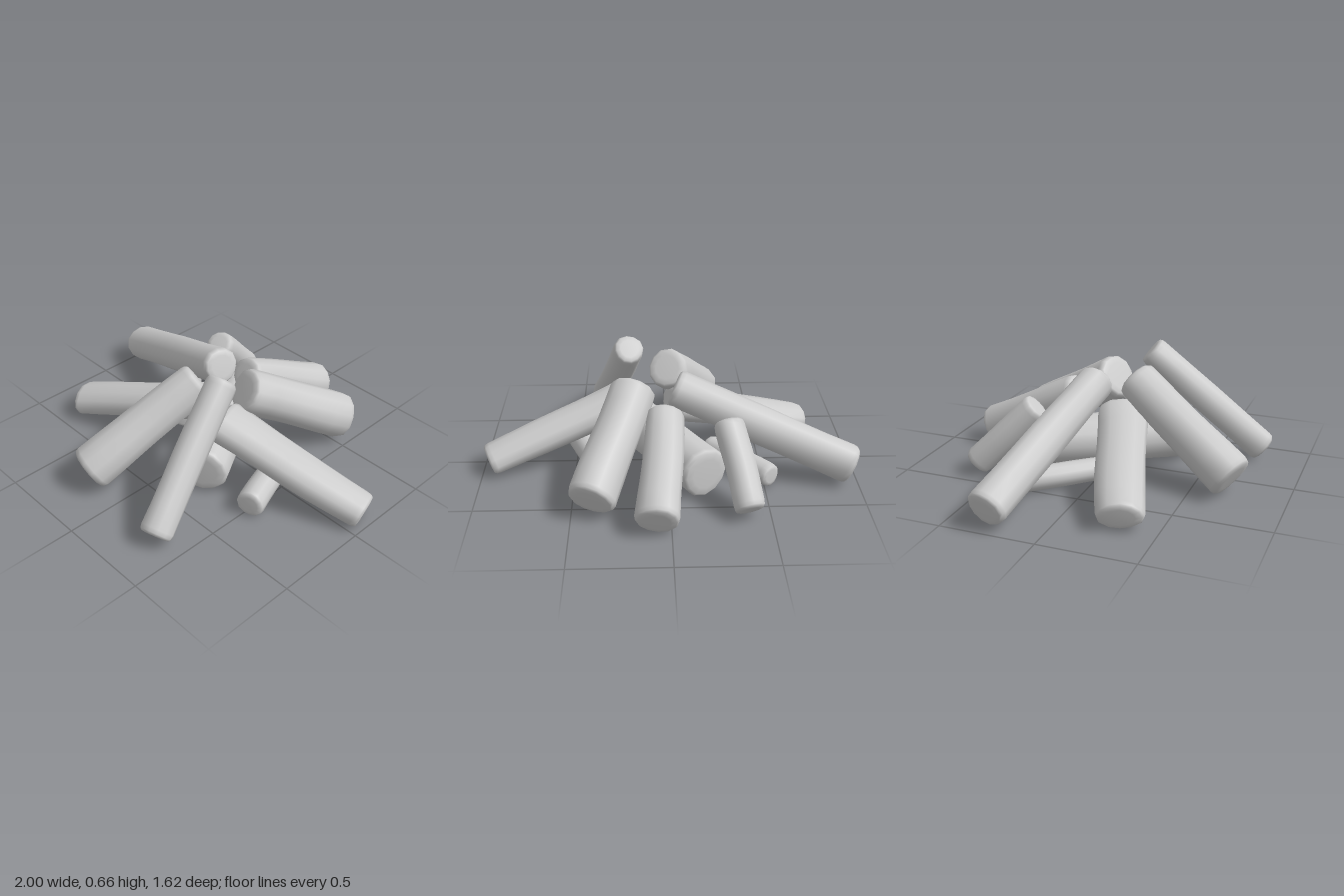
import * as THREE from 'three';
import { mergeVertices } from 'three/addons/utils/BufferGeometryUtils.js';

const material = new THREE.MeshStandardMaterial({ color: 0xcccccc });

// One log from end a (radius ra) to end b (radius rb).
// flat squashes its thickness, phase varies its uneven surface.
function makeLog(name, a, b, ra, rb, phase, flat = 1) {
  const start = new THREE.Vector3(...a);
  const axis = new THREE.Vector3(...b).sub(start);
  const len = axis.length();
  axis.normalize();

  // Profile: flat end, narrow worn rim, long side, worn rim, flat end
  const rim = [[0, 0], [0.6, 0], [0.86, 0.003], [0.96, 0.014], [1, 0.035]];
  const points = rim.map(([r, y]) => new THREE.Vector2(ra * r, y));
  for (let i = 1; i < 6; i++) {
    const t = i / 6;
    points.push(new THREE.Vector2(THREE.MathUtils.lerp(ra, rb, t), 0.035 + (len - 0.07) * t));
  }
  for (const [r, y] of rim.reverse()) points.push(new THREE.Vector2(rb * r, len - y));

  let geometry = new THREE.LatheGeometry(points, 12);
  geometry.deleteAttribute('uv');
  geometry.deleteAttribute('normal');
  geometry = mergeVertices(geometry, 1e-4);

  // Hand-hewn unevenness and a faint bend
  const pos = geometry.attributes.position;
  for (let i = 0; i < pos.count; i++) {
    const x = pos.getX(i), y = pos.getY(i), z = pos.getZ(i);
    const angle = Math.atan2(z, x);
    const k = 1 + 0.03 * Math.sin(3 * angle + phase + y * 5) + 0.015 * Math.sin(y * 11 + phase * 2);
    const bend = 0.003 * Math.sin((y / len) * Math.PI * 2 + phase);
    pos.setXYZ(i, x * k + bend, y, z * k * flat);
  }
  geometry.computeVertexNormals();

  // Lay the log along its axis with its thickness pointing up
  const side = new THREE.Vector3().crossVectors(axis, new THREE.Vector3(0, 1, 0)).normalize();
  const up = new THREE.Vector3().crossVectors(side, axis);
  const mesh = new THREE.Mesh(geometry, material);
  mesh.name = name;
  mesh.quaternion.setFromRotationMatrix(new THREE.Matrix4().makeBasis(side, axis, up));
  mesh.position.copy(start);
  return mesh;
}

export function createModel() {
  const group = new THREE.Group();
  group.name = 'logPile';

  const logs = [
    // Leaning logs: foot, top, foot radius, top radius, phase, flatness
    ['frontLog', [-0.207, 0.11, 0.722], [0, 0.505, 0.125], 0.124, 0.108, 0.4],
    ['frontLeftLog', [0.358, 0.063, 0.76], [0.2, 0.61, 0.147], 0.085, 0.083, 1.3],
    ['leftLog', [0.966, 0.073, -0.105], [0.18, 0.345, 0.14], 0.112, 0.135, 2.1, 0.72],
    ['backLeftLog', [0.4, 0.109, -0.595], [0.178, 0.45, -0.03], 0.125, 0.121, 3.2],
    ['backLog', [0.068, 0.092, -0.765], [0.015, 0.39, -0.2], 0.111, 0.098, 4.4],
    ['backRightShortLog', [-0.392, 0.065, -0.628], [-0.3, 0.393, -0.305], 0.08, 0.079, 5.1],
    ['rightLongLog', [-0.968, 0.108, -0.275], [-0.03, 0.48, -0.075], 0.103, 0.1, 0.9],
    ['rightFrontLog', [-0.768, 0.085, 0.328], [-0.02, 0.325, 0.065], 0.12, 0.132, 2.7, 0.68],
    // Logs lying on the ground
    ['largeGroundLog', [0.235, 0.142, 0.33], [-0.19, 0.142, -0.4], 0.134, 0.134, 1.8],
    ['leftGroundLog', [0.54, 0.08, 0.285], [0.365, 0.08, -0.18], 0.074, 0.072, 3.7],
    ['rightGroundLog', [-0.535, 0.07, -0.31], [-0.235, 0.07, 0.04], 0.064, 0.061, 5.6],
  ];
  for (const log of logs) group.add(makeLog(...log));

  return group;
}
